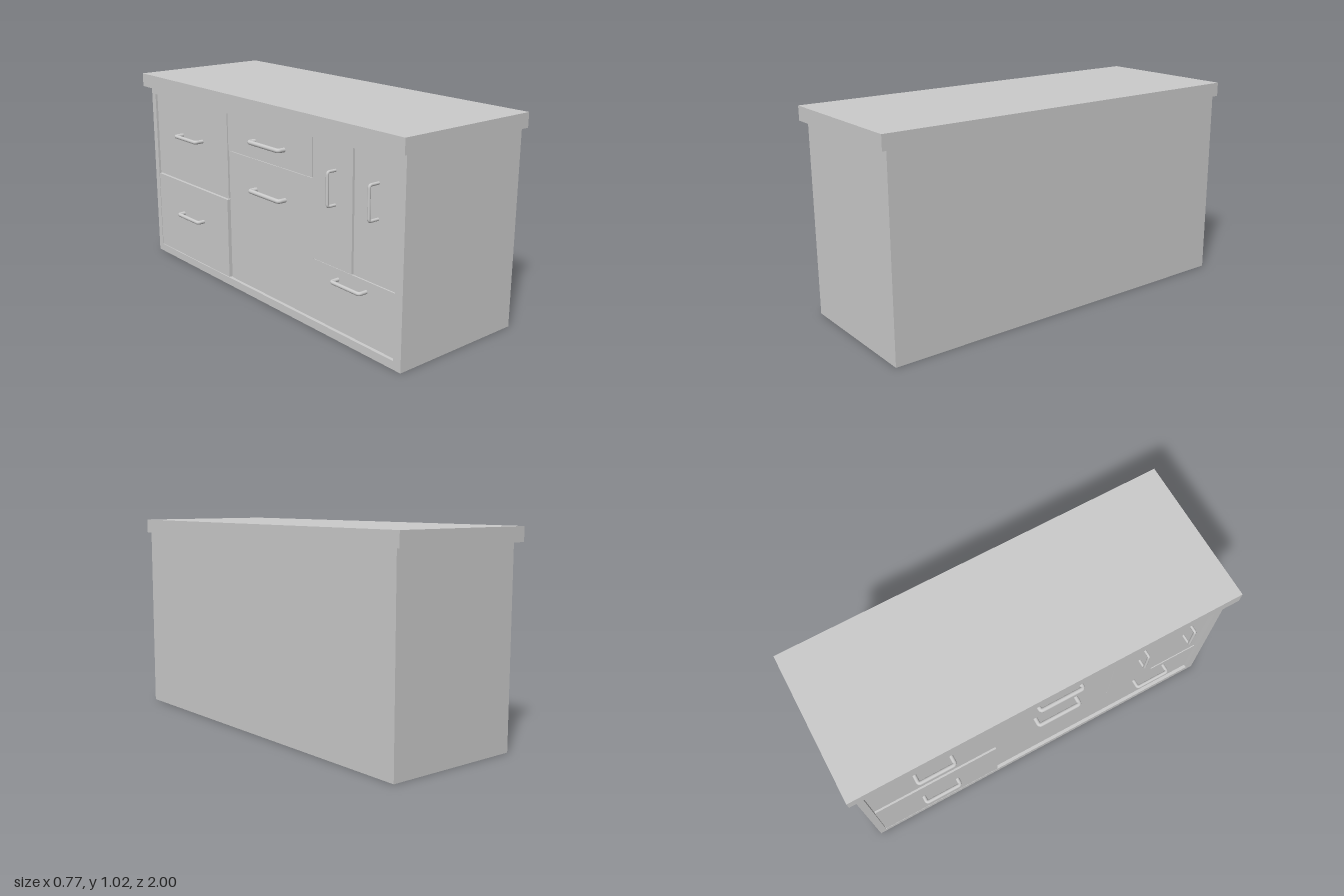
import * as THREE from 'three';

const material = new THREE.MeshStandardMaterial({ color: 0xcccccc });

function add(parent, name, geometry) {
  const mesh = new THREE.Mesh(geometry, material);
  mesh.name = name;
  parent.add(mesh);
  return mesh;
}

// Box given by its minimum and maximum on each axis
function block(parent, name, [x0, x1], [y0, y1], [z0, z1]) {
  const mesh = add(parent, name, new THREE.BoxGeometry(x1 - x0, y1 - y0, z1 - z0));
  mesh.position.set((x0 + x1) / 2, (y0 + y1) / 2, (z0 + z1) / 2);
  return mesh;
}

// Bent bar handle along z, standing out towards -x from the panel
function handle(parent, name, { y, z, length, base, reach, radius, upright }) {
  const h = length / 2 - radius;
  const out = -(reach - radius);
  const bend = 0.012;
  const path = new THREE.CurvePath();
  const p = (x, s) => new THREE.Vector3(x, 0, s);
  path.add(new THREE.LineCurve3(p(base, -h), p(out + bend, -h)));
  path.add(new THREE.QuadraticBezierCurve3(p(out + bend, -h), p(out, -h), p(out, -h + bend)));
  path.add(new THREE.LineCurve3(p(out, -h + bend), p(out, h - bend)));
  path.add(new THREE.QuadraticBezierCurve3(p(out, h - bend), p(out, h), p(out + bend, h)));
  path.add(new THREE.LineCurve3(p(out + bend, h), p(base, h)));
  const mesh = add(parent, name, new THREE.TubeGeometry(path, 64, radius, 12, false));
  mesh.position.set(0, y, z);
  if (upright) mesh.rotation.x = Math.PI / 2;
}

export function createModel() {
  const group = new THREE.Group();
  group.name = 'cabinet';

  // Countertop and solid carcass
  block(group, 'countertop', [-0.378, 0.382], [0.95, 1.02], [-1, 1]);
  block(group, 'carcass', [-0.315, 0.372], [0, 0.95], [-0.975, 0.975]);

  // Face frame around the drawers and doors
  const frame = new THREE.Shape();
  frame.moveTo(-0.975, 0).lineTo(0.975, 0).lineTo(0.975, 0.95).lineTo(-0.975, 0.95).closePath();
  const opening = new THREE.Path();
  opening.moveTo(-0.94, 0.04).lineTo(-0.94, 0.91).lineTo(0.93, 0.91).lineTo(0.93, 0.04).closePath();
  frame.holes.push(opening);
  const frameGeometry = new THREE.ExtrudeGeometry(frame, { depth: 0.025, bevelEnabled: false });
  frameGeometry.rotateY(-Math.PI / 2).translate(-0.315, 0, 0);
  add(group, 'faceFrame', frameGeometry);

  // Panels: name, face x, y range, z range
  const panels = [
    ['lowerDrawer', -0.339, [0.043, 0.462], [-0.937, -0.272]],
    ['upperDrawer', -0.33, [0.466, 0.907], [-0.937, -0.272]],
    ['topDrawer', -0.327, [0.72, 0.907], [-0.268, 0.385]],
    ['largePanelLeft', -0.323, [0.04, 0.716], [-0.268, 0.387]],
    ['largePanelRight', -0.323, [0.04, 0.336], [0.387, 0.93]],
    ['leftDoor', -0.327, [0.34, 0.907], [0.39, 0.651]],
    ['rightDoor', -0.319, [0.34, 0.907], [0.655, 0.927]],
  ];
  for (const [name, face, y, z] of panels) block(group, name, [face, -0.315], y, z);

  // Handles
  const wide = { length: 0.21, base: -0.325, reach: 0.384, radius: 0.01 };
  const long = { length: 0.25, base: -0.32, reach: 0.374, radius: 0.011 };
  const tall = { length: 0.17, base: -0.316, reach: 0.379, radius: 0.007, upright: true };
  handle(group, 'upperDrawerHandle', { ...wide, y: 0.722, z: -0.595 });
  handle(group, 'lowerDrawerHandle', { ...wide, y: 0.287, z: -0.595 });
  handle(group, 'topDrawerHandle', { ...long, y: 0.808, z: 0.07 });
  handle(group, 'largePanelHandle', { ...long, y: 0.566, z: 0.07 });
  handle(group, 'cornerPanelHandle', { ...long, length: 0.2, radius: 0.009, y: 0.287, z: 0.65 });
  handle(group, 'leftDoorHandle', { ...tall, y: 0.708, z: 0.54 });
  handle(group, 'rightDoorHandle', { ...tall, y: 0.708, z: 0.8 });

  return group;
}
